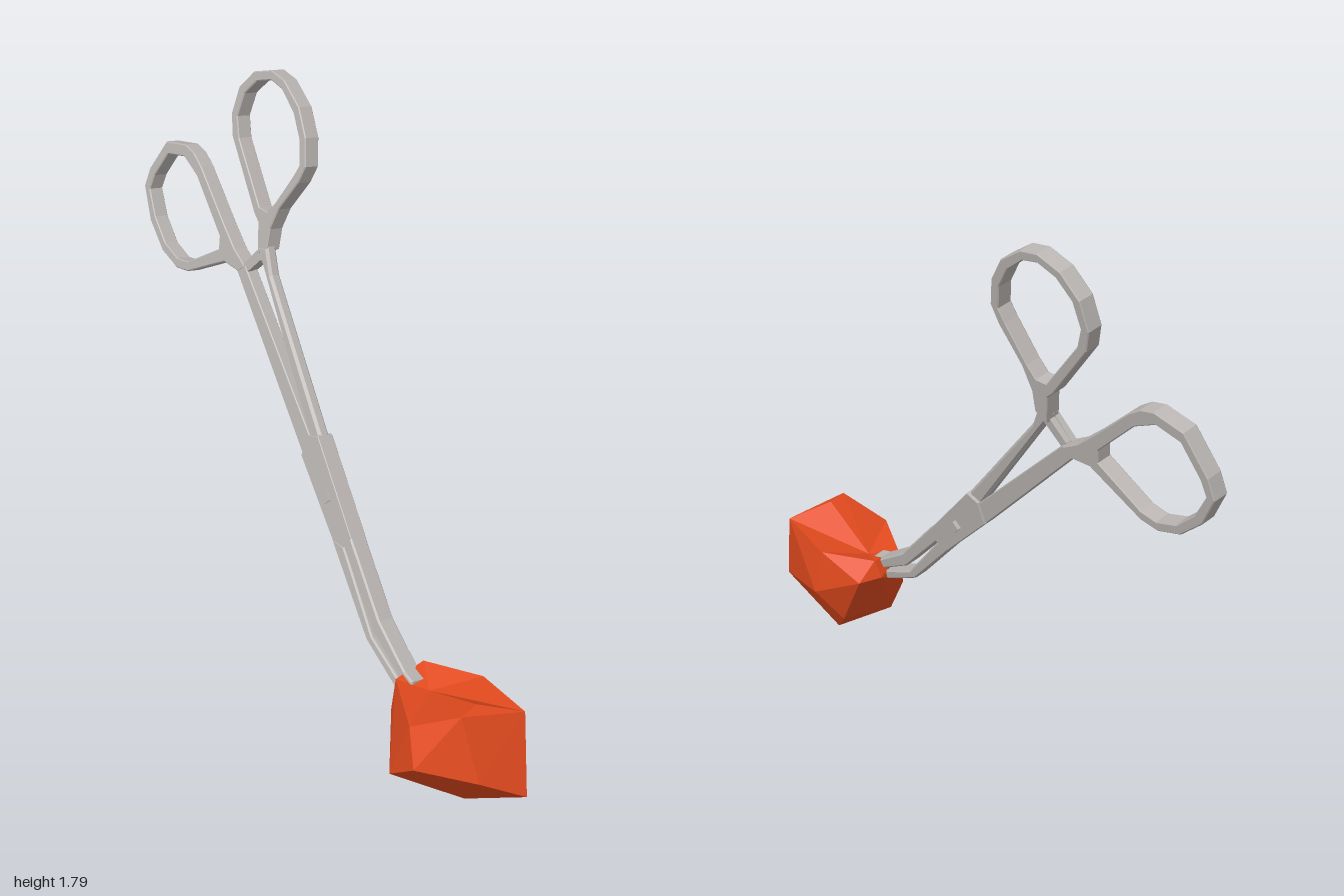
import * as THREE from 'three';
import { ConvexGeometry } from 'three/addons/geometries/ConvexGeometry.js';

// Clamp parts are drawn flat in x/y, then laid onto a plane leaning backwards.
const SLOPE = 0.194, LEAN = new THREE.Matrix4().set(
  1, 0, 0, 0,
  0, 1, 0.19, 0,
  0, -SLOPE, 0.98, 0.118,
  0, 0, 0, 1);

// Points in the wanted winding: outlines counter-clockwise, holes clockwise
function wound(list, clockwise) {
  const points = list.map(([x, y]) => new THREE.Vector2(x, y));
  return THREE.ShapeUtils.isClockWise(points) === clockwise ? points : points.reverse();
}

export function createModel() {
  const group = new THREE.Group();
  const steel = new THREE.MeshStandardMaterial({ color: 0xbab5b2, flatShading: true });
  steel.name = 'steel';
  const orange = new THREE.MeshStandardMaterial({ color: 0xe24a1e, flatShading: true });
  orange.name = 'orange';

  function plate(name, outline, thickness, bevel = 0, hole = null, offset = 0) {
    const shape = new THREE.Shape(wound(outline, false));
    if (hole) shape.holes.push(new THREE.Path(wound(hole, true)));
    const geo = new THREE.ExtrudeGeometry(shape, {
      depth: thickness - 2 * bevel, bevelEnabled: bevel > 0, bevelSegments: 1,
      bevelSize: bevel, bevelThickness: bevel, bevelOffset: -bevel,
    });
    geo.translate(0, 0, -thickness / 2 + bevel + offset);
    geo.applyMatrix4(LEAN);
    geo.computeVertexNormals();
    const mesh = new THREE.Mesh(geo, steel);
    mesh.name = name;
    group.add(mesh);
  }

  // Finger rings with their stems
  plate('upperRing', [
    [-0.39, 1.25], [-0.41, 1.34], [-0.435, 1.36], [-0.593, 1.545], [-0.613, 1.61], [-0.595, 1.695],
    [-0.535, 1.76], [-0.455, 1.788], [-0.39, 1.778], [-0.305, 1.725], [-0.253, 1.65],
    [-0.233, 1.57], [-0.255, 1.515], [-0.325, 1.41], [-0.35, 1.34], [-0.35, 1.275],
  ], 0.05, 0.003, [
    [-0.415, 1.385], [-0.56, 1.55], [-0.583, 1.61], [-0.565, 1.685], [-0.515, 1.737],
    [-0.45, 1.76], [-0.395, 1.75], [-0.325, 1.70], [-0.28, 1.635], [-0.263, 1.565],
    [-0.283, 1.525], [-0.347, 1.42], [-0.375, 1.385],
  ], -0.008);
  plate('lowerRing', [
    [-0.435, 1.19], [-0.5, 1.225], [-0.57, 1.28], [-0.72, 1.407], [-0.765, 1.435], [-0.815, 1.446],
    [-0.915, 1.423], [-0.985, 1.312], [-1.0, 1.25], [-0.945, 1.155], [-0.86, 1.085], [-0.775, 1.06],
    [-0.715, 1.07], [-0.54, 1.168], [-0.465, 1.165],
  ], 0.05, 0.003, [
    [-0.58, 1.235], [-0.735, 1.372], [-0.815, 1.408], [-0.9, 1.388], [-0.955, 1.3],
    [-0.97, 1.25], [-0.922, 1.175], [-0.85, 1.113], [-0.775, 1.09], [-0.72, 1.1],
    [-0.575, 1.195],
  ], -0.004);

  // Long handles running down to the joint
  plate('upperHandle', [
    [-0.395, 1.27], [-0.35, 1.285], [-0.31, 1.21], [0.03, 0.84], [0.02, 0.79], [-0.02, 0.82],
  ], 0.038, 0.008);
  plate('lowerHandle', [
    [-0.47, 1.165], [-0.435, 1.195], [0.0, 0.81], [0.03, 0.76], [-0.02, 0.745],
  ], 0.042, 0.003);

  // Overlapping catch bars between the handles
  plate('lowerCatch', [[-0.455, 1.185], [-0.43, 1.17], [-0.37, 1.235], [-0.39, 1.26]], 0.018, 0, null, 0.01);
  plate('upperCatch', [[-0.445, 1.2], [-0.425, 1.18], [-0.36, 1.245], [-0.38, 1.27]], 0.018, 0, null, -0.01);

  // Box joint and its pin
  plate('joint', [
    [-0.03, 0.755], [-0.015, 0.825], [0.03, 0.842], [0.26, 0.605], [0.235, 0.578], [0.18, 0.565],
  ], 0.056, 0.002);
  plate('jointPin', [[0.09, 0.69], [0.11, 0.71], [0.135, 0.685], [0.115, 0.665]], 0.072, 0, null, -0.004);

  // Angled jaws
  plate('upperJaw', [
    [0.22, 0.585], [0.25, 0.62], [0.43, 0.44], [0.57, 0.352], [0.61, 0.34],
    [0.61, 0.305], [0.57, 0.315], [0.42, 0.395],
  ], 0.058, 0.005, null, 0.003);
  plate('lowerJaw', [
    [0.17, 0.575], [0.225, 0.578], [0.412, 0.378], [0.57, 0.305], [0.61, 0.29],
    [0.61, 0.255], [0.57, 0.272], [0.39, 0.358],
  ], 0.054, 0.005, null, 0.003);

  // Faceted lump held in the jaws, with a dent where the tips grip it
  const peak = new THREE.Vector3(0.64, 0.42, 0.05);
  const corners = [
    [0.785, 0.003, 0.02], [1, 0.135, -0.02], [0.955, 0.22, 0.12], [0.83, 0.255, 0.255],
    [0.69, 0.135, 0.225], [0.66, 0.08, 0.145], [0.89, 0.424, 0.14], [0.87, 0.424, 0.07],
    [0.74, 0.205, -0.108], [0.935, 0.38, -0.055], [0.555, 0.3, -0.07], [0.56, 0.355, 0.0],
    [0.537, 0.3, 0.01], [0.565, 0.24, 0.12], [0.57, 0.345, 0.11], [0.76, 0.345, 0.215],
    [0.68, 0.1, -0.04], [0.72, 0.355, -0.09],
  ].map((p) => new THREE.Vector3(...p));
  const lumpGeo = new ConvexGeometry([...corners, peak]);
  const pos = lumpGeo.attributes.position, v = new THREE.Vector3();
  for (let i = 0; i < pos.count; i++) {
    if (v.fromBufferAttribute(pos, i).distanceTo(peak) < 1e-4) pos.setXYZ(i, 0.65, 0.325, 0.05);
  }
  lumpGeo.computeVertexNormals();
  const lump = new THREE.Mesh(lumpGeo, orange);
  lump.name = 'lump';
  group.add(lump);

  return group;
}
